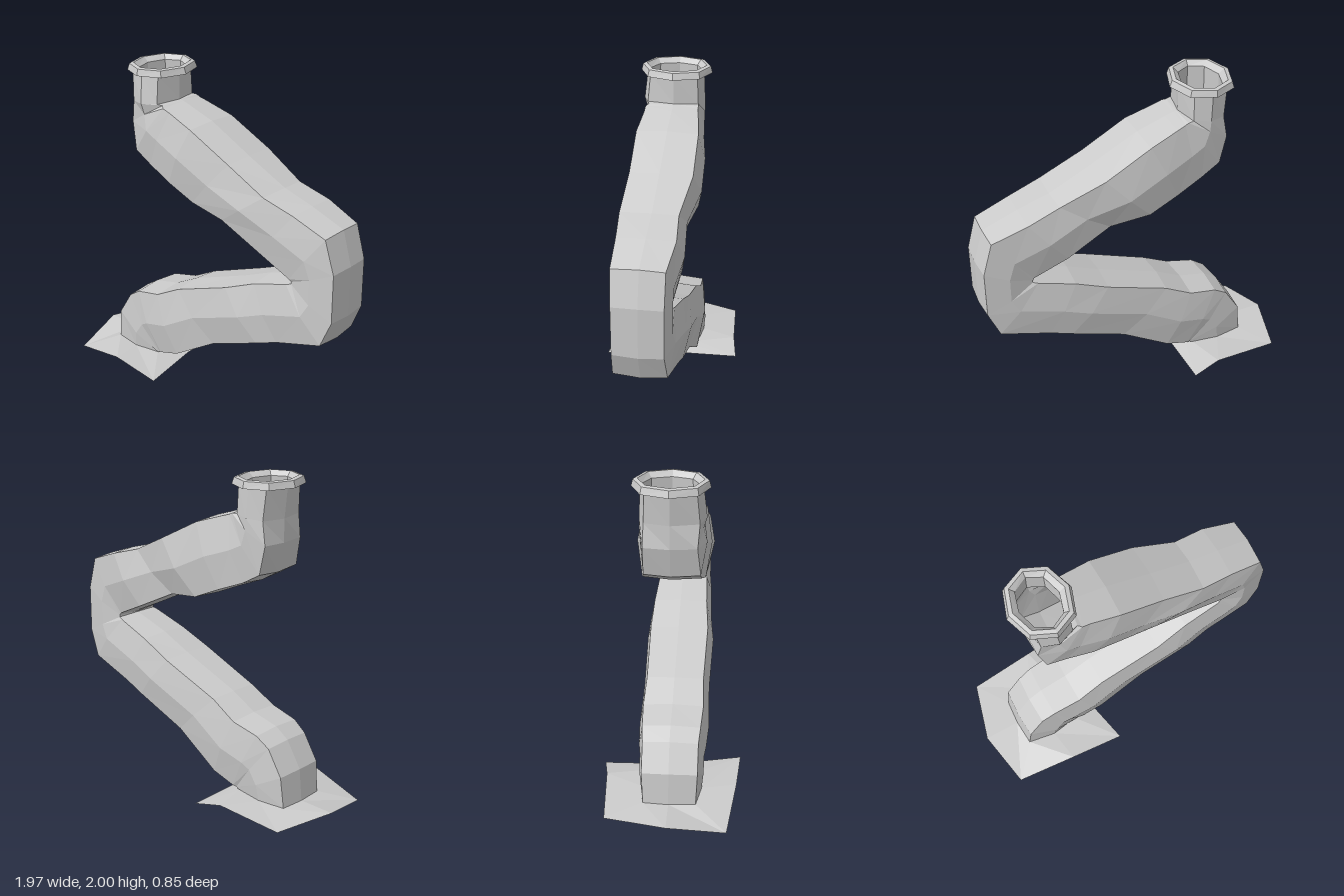
import * as THREE from 'three';

const material = new THREE.MeshStandardMaterial({
  color: 0xcccccc, flatShading: true, side: THREE.DoubleSide,
});

// Skin a list of equal-length closed rings of Vector3 with quads.
function loft(name, rings) {
  const n = rings[0].length;
  const positions = rings.flatMap(ring => ring.flatMap(p => [p.x, p.y, p.z]));
  const index = [];
  for (let s = 0; s < rings.length - 1; s++) {
    for (let i = 0; i < n; i++) {
      const a = s * n + i, b = s * n + (i + 1) % n;
      index.push(a, b, a + n, b, b + n, a + n);
    }
  }
  let geometry = new THREE.BufferGeometry();
  geometry.setAttribute('position', new THREE.Float32BufferAttribute(positions, 3));
  geometry.setIndex(index);
  geometry = geometry.toNonIndexed();
  geometry.computeVertexNormals();
  const mesh = new THREE.Mesh(geometry, material);
  mesh.name = name;
  return mesh;
}

// Eight-sided pipe section between an outer and an inner point, reaching from back to front in z.
function section([ox, oy, ix, iy, front, back], corner = 0.94, cornerZ = 0.85) {
  const ring = [];
  for (let i = 0; i < 8; i++) {
    const c = Math.round(Math.cos(i * Math.PI / 4)), s = Math.round(Math.sin(i * Math.PI / 4));
    const diagonal = i % 2 === 1;
    const t = 0.5 + 0.5 * c * (diagonal ? corner : 1);
    const depth = s > 0 ? front : back;
    ring.push(new THREE.Vector3(
      ix + (ox - ix) * t, iy + (oy - iy) * t, s * depth * (diagonal ? cornerZ : 1)));
  }
  return ring;
}

// Flat octagonal ring for the mouth.
function mouthRing(y, rx, rz) {
  return section([-0.46 + rx, y, -0.46 - rx, y, rz, rz], 0.72, 0.72);
}

export function createModel() {
  const group = new THREE.Group();
  group.name = 'bentPipe';

  // Neck: [outer x, y, inner x, y, front depth, back depth]
  const neck = [
    [-0.32, 1.96, -0.60, 1.96, 0.18, 0.17],
    [-0.32, 1.79, -0.58, 1.77, 0.20, 0.18],
  ].map(s => section(s, 0.75, 0.82));

  // Upper arm, elbow, lower arm and foot
  const body = [
    [-0.31, 1.79, -0.58, 1.63, 0.18, 0.18],
    [-0.29, 1.785, -0.54, 1.45, 0.20, 0.18],
    [-0.24, 1.77, -0.42, 1.38, 0.20, 0.19],
    [-0.06, 1.71, -0.25, 1.31, 0.22, 0.22],
    [0.23, 1.56, -0.07, 1.23, 0.21, 0.23],
    [0.50, 1.43, 0.17, 1.19, 0.22, 0.18],
    [0.70, 1.37, 0.45, 1.05, 0.20, 0.20],
    [0.92, 1.29, 0.66, 0.95, 0.19, 0.17],
    [0.98, 1.08, 0.67, 0.94, 0.18, 0.17],
    [0.98, 0.77, 0.67, 0.935, 0.18, 0.17],
    [0.91, 0.60, 0.64, 0.93, 0.19, 0.18],
    [0.60, 0.51, 0.41, 0.86, 0.20, 0.20],
    [0.46, 0.46, 0.20, 0.77, 0.22, 0.21],
    [0.11, 0.32, -0.20, 0.62, 0.21, 0.20],
    [-0.20, 0.13, -0.37, 0.53, 0.22, 0.21],
    [-0.35, 0.08, -0.55, 0.49, 0.21, 0.20],
    [-0.37, 0.075, -0.64, 0.43, 0.20, 0.19],
    [-0.38, 0.07, -0.74, 0.27, 0.20, 0.19],
    [-0.39, 0.07, -0.76, 0.07, 0.19, 0.18],
  ].map(s => section(s));
  group.add(loft('pipe', [...neck, ...body]));

  // Raised lip around the open mouth
  group.add(loft('mouthFlange', [
    mouthRing(1.955, 0.14, 0.18),
    mouthRing(1.955, 0.195, 0.22),
    mouthRing(1.995, 0.18, 0.21),
    mouthRing(2.0, 0.155, 0.185),
    mouthRing(1.97, 0.12, 0.16),
    mouthRing(1.82, 0.125, 0.165),
  ]));

  // Thin uneven base sheet with the pipe opening through it
  const rim = [
    [-0.28, 0.04, 0], [-0.19, 0.05, 0.42], [-0.54, 0.08, 0.40], [-0.92, 0, 0.35],
    [-0.99, 0.07, 0], [-0.89, 0.05, -0.37], [-0.47, 0.08, -0.40], [-0.29, 0.04, -0.43],
  ].map(p => new THREE.Vector3(...p));
  group.add(loft('basePlate', [body[body.length - 1], rim]));

  return group;
}
